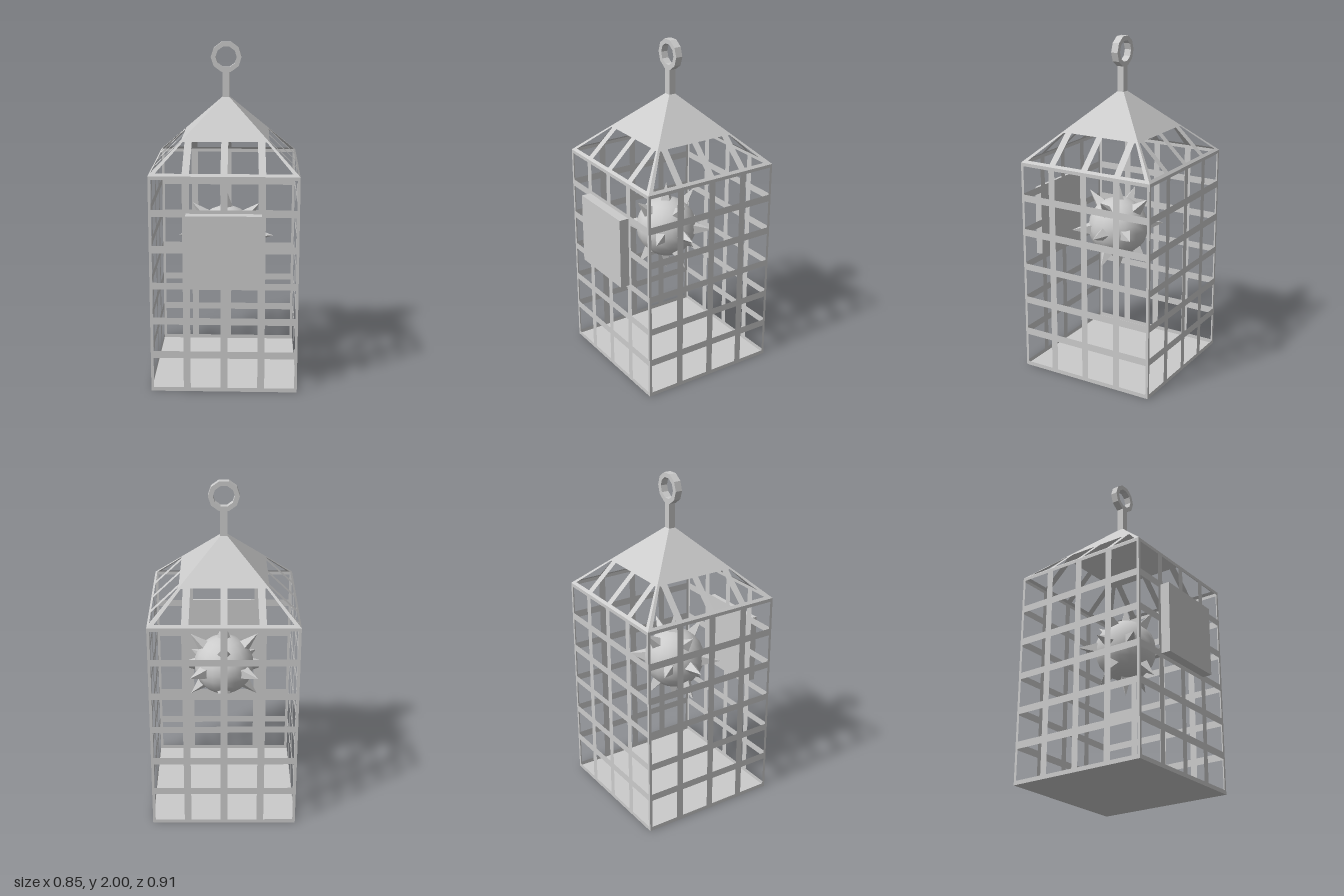
import * as THREE from 'three';

const HALF = 0.427, EAVE = 1.29, APEX = 1.7, CZ = -0.028;

const polygon = (Type, pts) => new Type(pts.map(([x, y]) => new THREE.Vector2(x, y)));

export function createModel() {
  const model = new THREE.Group();
  const solid = new THREE.MeshStandardMaterial({ color: 0xcccccc, flatShading: true });
  const smooth = new THREE.MeshStandardMaterial({ color: 0xcccccc });
  const sheet = new THREE.MeshStandardMaterial({ color: 0xcccccc, flatShading: true, side: THREE.DoubleSide });

  const add = (parent, name, geometry, material, x = 0, y = 0, z = 0) => {
    const mesh = new THREE.Mesh(geometry, material);
    mesh.name = name;
    mesh.position.set(x, y, z);
    parent.add(mesh);
    return mesh;
  };

  const cage = new THREE.Group();
  cage.name = 'cage';
  cage.position.z = CZ;
  model.add(cage);

  // Lattice wall: thin sheet with a 4 x 6 grid of openings
  const columns = [[-0.411, -0.236], [-0.195, -0.02], [0.02, 0.195], [0.236, 0.411]];
  const rows = [[0.024, 0.207], [0.25, 0.414], [0.456, 0.628], [0.668, 0.843], [0.886, 1.056], [1.098, 1.27]];
  const wall = polygon(THREE.Shape, [[-HALF, 0], [HALF, 0], [HALF, EAVE], [-HALF, EAVE]]);
  for (const [l, r] of columns)
    for (const [b, t] of rows)
      wall.holes.push(polygon(THREE.Path, [[l, b], [l, t], [r, t], [r, b]]));
  const wallGeometry = new THREE.ShapeGeometry(wall);
  wallGeometry.translate(0, 0, HALF);

  // Roof slope: drawn in plan, then lifted to the pitch
  const slope = polygon(THREE.Shape, [[0, 0], [HALF, HALF], [-HALF, HALF]]);
  for (const s of [-1, 1]) {
    slope.holes.push(polygon(THREE.Path, [[s * 0.02, 0.413], [s * 0.195, 0.413], [s * 0.188, 0.254], [s * 0.02, 0.254]]));
    slope.holes.push(polygon(THREE.Path, [[s * 0.236, 0.413], [s * 0.387, 0.413], [s * 0.24, 0.256], [s * 0.23, 0.256]]));
  }
  const slopeGeometry = new THREE.ShapeGeometry(slope);
  const p = slopeGeometry.attributes.position;
  for (let i = 0; i < p.count; i++) {
    const v = p.getY(i);
    p.setXYZ(i, p.getX(i), APEX - (APEX - EAVE) * v / HALF, v);
  }
  // Lifting mirrors the sheet, so turn its faces outward again
  const index = slopeGeometry.index;
  for (let i = 0; i < index.count; i += 3) {
    const a = index.getX(i);
    index.setX(i, index.getX(i + 1));
    index.setX(i + 1, a);
  }
  slopeGeometry.computeVertexNormals();

  for (let i = 0; i < 4; i++) {
    add(cage, 'latticeWall', wallGeometry, sheet).rotation.y = i * Math.PI / 2;
    add(cage, 'roofSlope', slopeGeometry, sheet).rotation.y = i * Math.PI / 2;
  }

  // Floor
  const floor = new THREE.PlaneGeometry(HALF * 2, HALF * 2);
  floor.rotateX(Math.PI / 2);
  add(cage, 'floor', floor, sheet);

  // Hanging stem and ring
  add(cage, 'hangerStem', new THREE.BoxGeometry(0.042, 0.16, 0.042), solid, 0, 1.76, 0);
  const circle = (Type, r) => polygon(Type, Array.from({ length: 10 }, (_, i) => {
    const a = i * Math.PI / 5;
    return [r * Math.cos(a), r * Math.sin(a)];
  }));
  const ring = circle(THREE.Shape, 0.09);
  ring.holes.push(circle(THREE.Path, 0.062));
  const ringGeometry = new THREE.ExtrudeGeometry(ring, { depth: 0.042, bevelEnabled: false });
  add(cage, 'hangerRing', ringGeometry, solid, 0, 1.914, -0.021);

  // Plate on the front wall
  add(model, 'frontPlate', new THREE.BoxGeometry(0.43, 0.425, 0.057), solid, 0, 0.865, 0.428);

  // Spiked ball floating in the cage
  const ball = new THREE.Group();
  ball.name = 'spikedBall';
  ball.position.set(0, 0.845, 0);
  model.add(ball);
  add(ball, 'ball', new THREE.SphereGeometry(0.182, 16, 12), smooth);
  const directions = [[1, 0, 0], [-1, 0, 0], [0, 1, 0], [0, -1, 0]];
  for (const a of [-1, 1])
    for (const b of [-1, 1]) directions.push([a, b, 0], [a, 0, b], [0, a, b]);
  const spike = new THREE.ConeGeometry(0.045, 0.125, 4);
  for (const d of directions) {
    const dir = new THREE.Vector3(...d).normalize();
    const mesh = add(ball, 'spike', spike, solid);
    mesh.position.copy(dir).multiplyScalar(0.2235);
    mesh.quaternion.setFromUnitVectors(new THREE.Vector3(0, 1, 0), dir);
  }

  return model;
}
